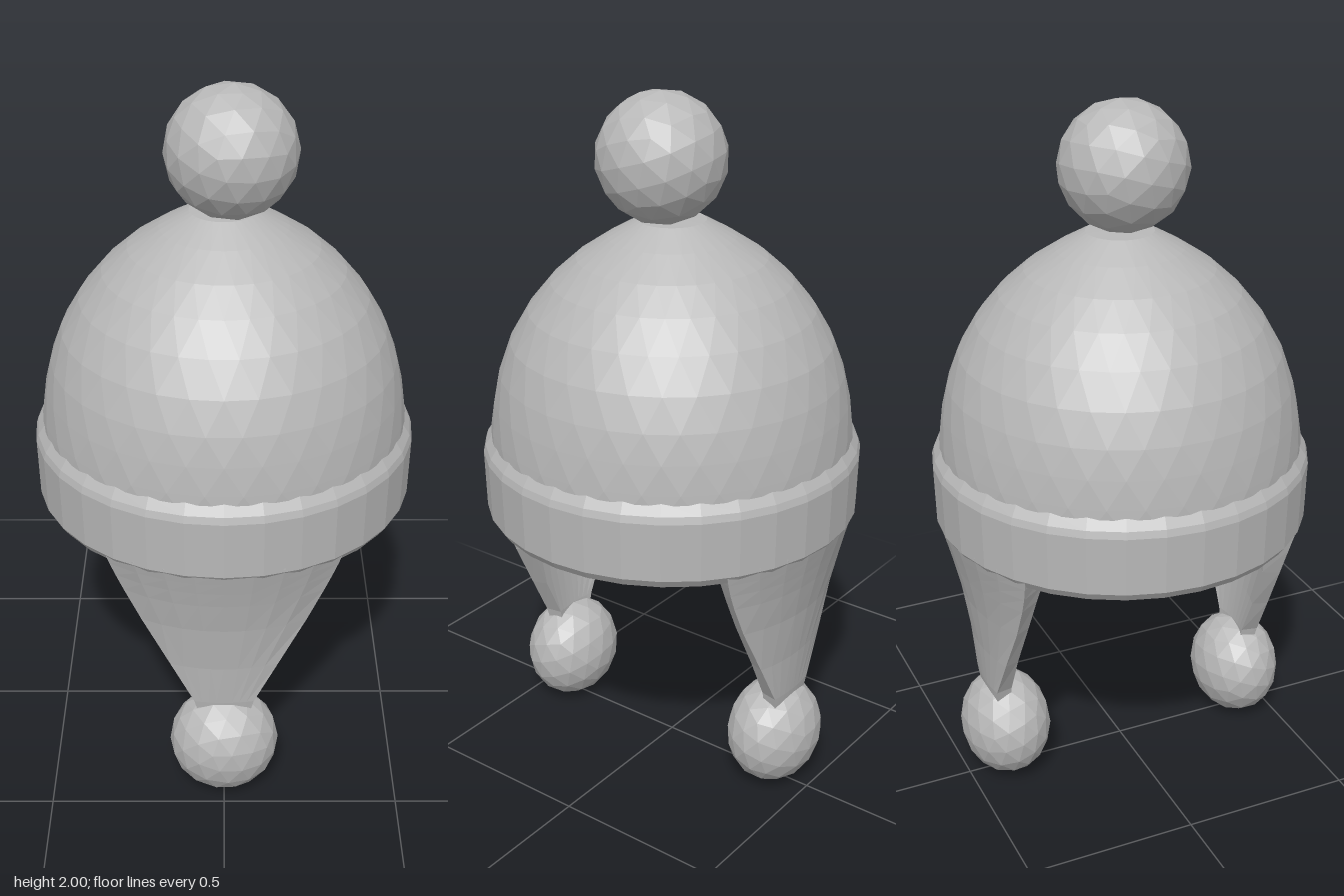
import * as THREE from 'three';

const wool = new THREE.MeshStandardMaterial({ color: 0xb8b8b8 });
wool.name = 'grey wool';

// Faceted mesh
function facet(name, geometry) {
  const g = geometry.index ? geometry.toNonIndexed() : geometry;
  g.computeVertexNormals();
  const mesh = new THREE.Mesh(g, wool);
  mesh.name = name;
  return mesh;
}

function lathe(profile, segments) {
  return new THREE.LatheGeometry(profile.map(([r, y]) => new THREE.Vector2(r, y)), segments);
}

// Rounded crown, each ring turned half a step further for even triangular facets
function crown() {
  const segments = 32;
  const rows = [[0.52, 0.99], [0.516, 1.06], [0.505, 1.14], [0.487, 1.22], [0.454, 1.31],
    [0.402, 1.4], [0.337, 1.48], [0.265, 1.545], [0.178, 1.603], [0.095, 1.65], [0, 1.655]];
  const g = lathe(rows, segments);
  const p = g.attributes.position;
  for (let i = 0; i < p.count; i++) {
    const row = i % rows.length;
    const angle = (Math.floor(i / rows.length) + row / 2) / segments * Math.PI * 2;
    p.setX(i, rows[row][0] * Math.sin(angle));
    p.setZ(i, rows[row][0] * Math.cos(angle));
  }
  return facet('crown', g);
}

// Folded band, with the inner wall and the lining across the top
function brim() {
  return facet('brim', lathe([[0, 1.105], [0.405, 1.105], [0.41, 0.84], [0.42, 0.8], [0.485, 0.792],
    [0.52, 0.797], [0.537, 0.822], [0.541, 0.99], [0.535, 1.01], [0.515, 1.04]], 32));
}

// Curved tapering flap: each row is height, half width, outer radius, inner radius
function flap() {
  const rows = [[0.97, 0.335, 0.53, 0.45], [0.83, 0.325, 0.535, 0.425], [0.79, 0.312, 0.524, 0.412],
    [0.75, 0.297, 0.513, 0.424], [0.7, 0.276, 0.5, 0.43], [0.6, 0.23, 0.477, 0.425],
    [0.45, 0.152, 0.453, 0.406], [0.32, 0.085, 0.441, 0.391], [0.28, 0.075, 0.435, 0.39]];
  const steps = 8;
  const n = 2 * (steps + 1);
  const positions = [];
  const index = [];
  for (const [y, w, outer, inner] of rows) {
    for (let k = 0; k < n; k++) {
      const back = k > steps;
      const r = back ? inner : outer;
      const x = w * r / outer * ((back ? n - 1 - k : k) / steps * 2 - 1);
      positions.push(x, y, Math.sqrt(r * r - x * x));
    }
  }
  for (let i = 0; i < rows.length - 1; i++) {
    for (let k = 0; k < n; k++) {
      const a = i * n + k, b = i * n + (k + 1) % n;
      index.push(a, a + n, b, b, a + n, b + n);
    }
  }
  const g = new THREE.BufferGeometry();
  g.setAttribute('position', new THREE.Float32BufferAttribute(positions, 3));
  g.setIndex(index);
  return facet('flap', g);
}

function pompom(name, radii, position) {
  const g = new THREE.IcosahedronGeometry(1, 2);
  g.rotateZ(0.4).rotateX(0.3).scale(...radii);
  const mesh = facet(name, g);
  mesh.position.set(...position);
  return mesh;
}

export function createModel() {
  const hat = new THREE.Group();
  hat.name = 'hat';
  hat.add(crown(), brim(), pompom('topPompom', [0.182, 0.181, 0.182], [0.02, 1.82, 0.02]));

  // Front and back flaps, each ending in a pompom
  for (const [name, turn, z] of [['front', 0, 0.4], ['back', Math.PI, 0.38]]) {
    const side = new THREE.Group();
    side.name = name + 'Flap';
    side.rotation.y = turn;
    side.add(flap(), pompom('flapPompom', [0.157, 0.16, 0.132], [0, 0.161, z]));
    hat.add(side);
  }
  return hat;
}
